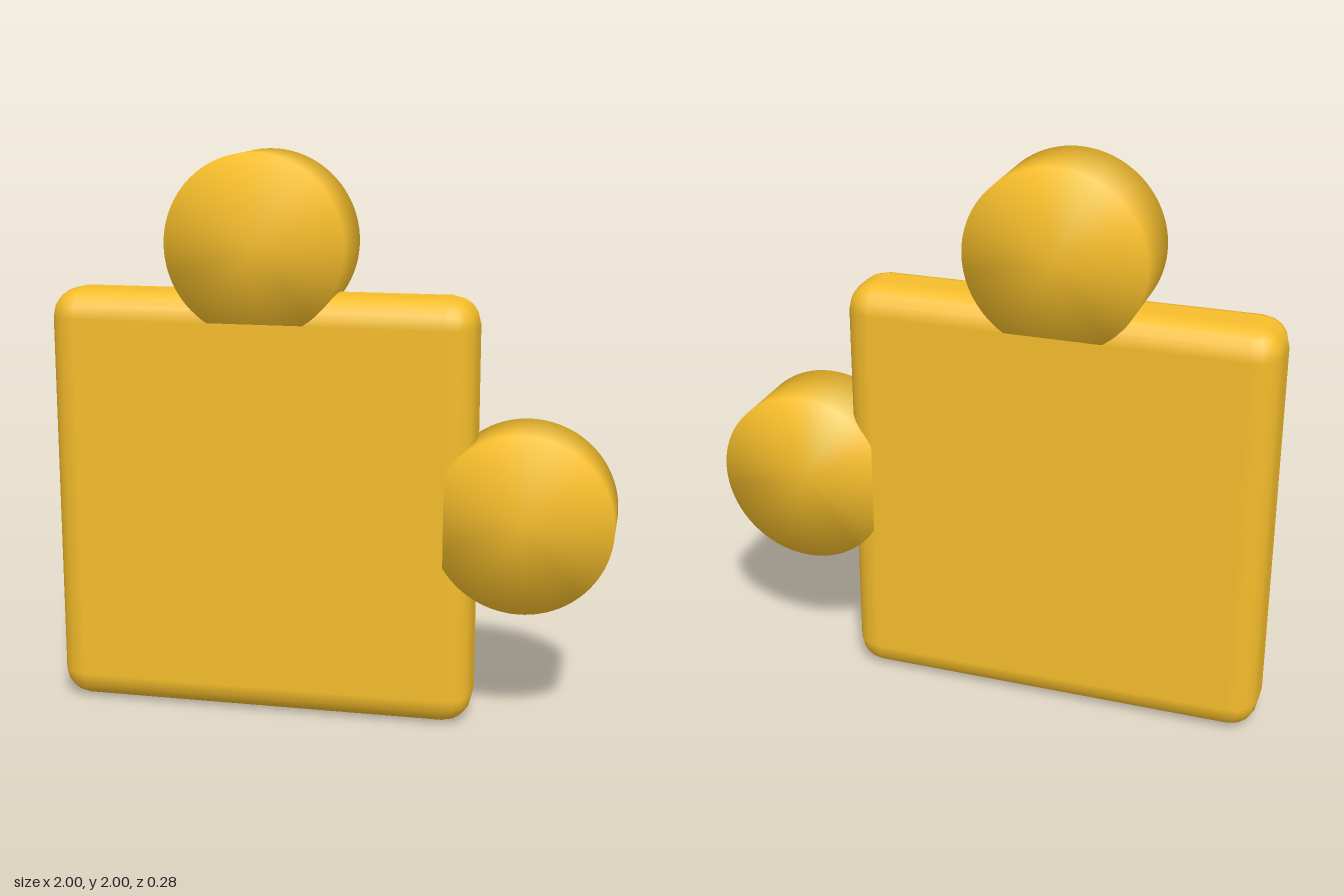
import * as THREE from 'three';
import { mergeVertices } from 'three/addons/utils/BufferGeometryUtils.js';
import { RoundedBoxGeometry } from 'three/addons/geometries/RoundedBoxGeometry.js';

const material = new THREE.MeshStandardMaterial({ color: 0xf5bd2b });

// Flat disc whose normals blend smoothly from the caps into the rim
function smoothDisc(radius, depth) {
  const disc = new THREE.CylinderGeometry(radius, radius, depth, 96);
  disc.rotateX(Math.PI / 2);
  disc.deleteAttribute('normal');
  disc.deleteAttribute('uv');
  const geometry = mergeVertices(disc, 1e-4);
  geometry.computeVertexNormals();
  return geometry;
}

export function createModel() {
  const group = new THREE.Group();
  group.name = 'puzzlePiece';

  const add = (name, geometry, x, y) => {
    const mesh = new THREE.Mesh(geometry, material);
    mesh.name = name;
    mesh.position.set(x, y, 0);
    group.add(mesh);
  };

  // Square slab with rounded edges
  add('body', new RoundedBoxGeometry(1.514, 1.516, 0.278, 2, 0.1), -0.243, 0.762);

  // Round knobs on the top and left edges, a hair thinner than the slab
  const knob = smoothDisc(0.315, 0.277);
  add('topKnob', knob, -0.245, 1.688);
  add('sideKnob', knob, 0.683, 0.762);

  return group;
}
